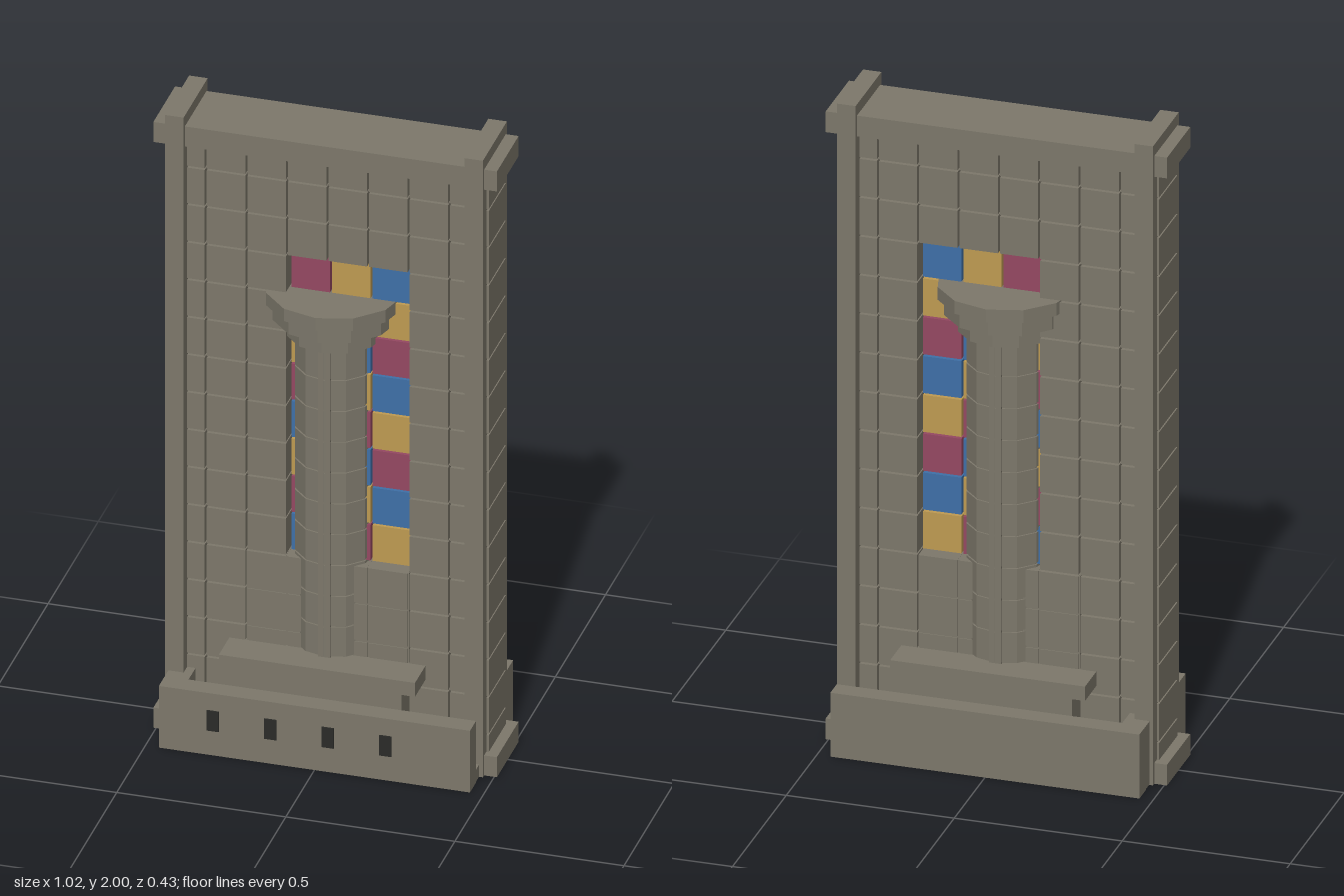
import * as THREE from 'three';

const mat = (name, color) => {
  const m = new THREE.MeshStandardMaterial({ color });
  m.name = name;
  return m;
};

export function createModel() {
  const model = new THREE.Group();
  model.name = 'monument';
  const stone = mat('stone', 0x7d786b);
  const dark = mat('dark', 0x2b2b28);
  const tiles = [mat('red', 0x954862), mat('ochre', 0xbf9b52), mat('blue', 0x3f70a8)];

  // Box from its lower and upper limits on each axis
  const box = (name, x0, x1, y0, y1, z0, z1, m = stone, parent = model) => {
    const b = new THREE.Mesh(new THREE.BoxGeometry(x1 - x0, y1 - y0, z1 - z0), m);
    b.position.set((x0 + x1) / 2, (y0 + y1) / 2, (z0 + z1) / 2);
    b.name = name;
    parent.add(b);
  };
  // Twelve-sided disc with a corner facing the front
  const disc = (name, r, y0, y1, parent = model) => {
    const g = new THREE.CylinderGeometry(r, r, y1 - y0, 12).toNonIndexed();
    g.computeVertexNormals();
    const d = new THREE.Mesh(g, stone);
    d.position.y = (y0 + y1) / 2;
    d.name = name;
    parent.add(d);
  };

  // Block wall with open joints; the recessed niche holds coloured tiles
  const wall = new THREE.Group();
  wall.name = 'wall';
  model.add(wall);
  const w = 0.12, h = 0.1215, gap = 0.003;
  for (let c = 0; c < 8; c++) {
    for (let r = 0; r < 16; r++) {
      const x = -0.48 + c * w, y = r * h;
      const niche = c >= 3 && c <= 5 && r >= 5 && r <= 12;
      const m = niche ? tiles[(c - 3 - (12 - r) + 12) % 3] : stone;
      const z = niche ? 0.05 : 0.085;
      box(niche ? 'colourTile' : 'wallBlock', x + gap, x + w - gap,
        y + gap, y + h - gap, -z, z, m, wall);
    }
  }
  box('wallCore', -0.24, 0.24, 0.2, 0.604, -0.082, 0.082);

  // Frame
  for (const s of [-1, 1]) {
    box('post', s * 0.4425 - 0.0275, s * 0.4425 + 0.0275, 0, 2, -0.12, 0.12);
  }
  box('topBeam', -0.508, 0.508, 1.9, 1.965, -0.108, 0.108);
  box('bottomBeam', -0.508, 0.508, 0, 0.065, -0.108, 0.108);

  // Trough around the foot, open at one end
  box('baseFloor', -0.459, 0.459, 0.001, 0.04, -0.214, 0.214);
  for (const s of [-1, 1]) {
    box('basePanel', -0.46, 0.46, 0, 0.2, s * 0.185 - 0.03, s * 0.185 + 0.03);
    box('endWall', -0.46, -0.39, 0.04, 0.2, s * 0.12 - 0.035, s * 0.12 + 0.035);
    for (const x of [-0.3, 0.3]) {
      box('drain', x - 0.035, x + 0.035, 0.1, 0.155, s * 0.11 - 0.03, s * 0.11 + 0.03, dark);
    }
  }
  for (let i = 0; i < 4; i++) {
    const x = -0.3 + i * 0.17;
    box('baseWindow', x - 0.018, x + 0.018, 0.08, 0.145, 0.212, 0.219, dark);
  }

  // Pedestal
  box('pedestal', -0.24, 0.24, 0.04, 0.27, -0.154, 0.154);
  box('pedestalSlab', -0.29, 0.29, 0.27, 0.315, -0.19, 0.19);

  // Column of drums with shallow joints and a stepped capital
  const column = new THREE.Group();
  column.name = 'column';
  model.add(column);
  disc('columnCore', 0.115, 0.315, 1.315, column);
  for (let i = 0; i < 10; i++) {
    disc('drum', 0.12, 0.318 + i * 0.1, 0.412 + i * 0.1, column);
  }
  box('columnRib', -0.018, 0.018, 0.315, 1.315, -0.119, 0.119, stone, column);
  disc('capitalLower', 0.145, 1.315, 1.37, column);
  disc('capitalMiddle', 0.185, 1.37, 1.42, column);
  disc('capitalTop', 0.204, 1.42, 1.46, column);

  return model;
}
